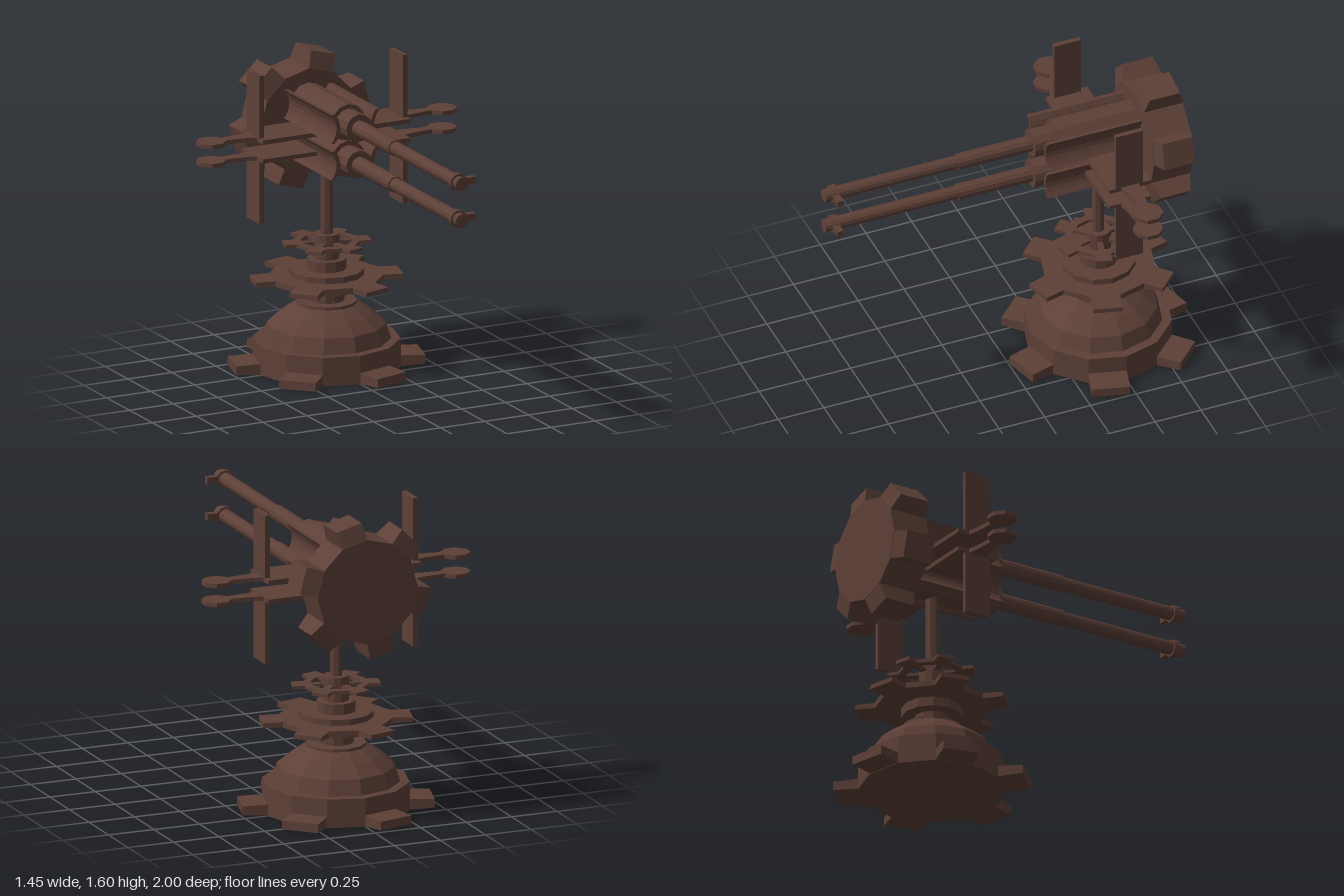
import * as THREE from 'three';

const brown = new THREE.MeshStandardMaterial({ color: 0x5d4037, flatShading: true });
brown.name = 'rust brown';

const AXIS_Z = -0.5; // pedestal axis
const GUN_X = -0.006;

function add(parent, name, geometry, x = 0, y = 0, z = 0) {
  const mesh = new THREE.Mesh(geometry, brown);
  mesh.name = name;
  mesh.position.set(x, y, z);
  parent.add(mesh);
  return mesh;
}

// upright cylinder on the pedestal axis between two heights
function post(parent, name, r, y0, y1, sides = 12) {
  add(parent, name, new THREE.CylinderGeometry(r, r, y1 - y0, sides), 0, (y0 + y1) / 2, AXIS_Z);
}

// cylinder along z between two depths
function tube(parent, name, r, z0, z1, sides = 12) {
  const g = new THREE.CylinderGeometry(r, r, z1 - z0, sides).rotateX(Math.PI / 2);
  add(parent, name, g, 0, 0, (z0 + z1) / 2);
}

// six block teeth around the z axis, narrowing in depth toward the tip
function addTeeth(group, inner, outer, width, depth, tipDepth) {
  for (let i = 0; i < 6; i++) {
    const g = new THREE.BoxGeometry(outer - inner, width, depth);
    const p = g.attributes.position;
    for (let k = 0; k < p.count; k++) {
      if (p.getX(k) > 0) p.setZ(k, p.getZ(k) * tipDepth / depth);
    }
    g.translate((inner + outer) / 2, 0, 0).rotateZ(Math.PI / 12 + i * Math.PI / 3);
    add(group, 'tooth', g);
  }
}

// twelve-sided disc with a tooth on every second face
function makeGear(name, r, depth, outer, toothDepth, tipDepth) {
  const group = new THREE.Group();
  group.name = name;
  add(group, 'disc', new THREE.CylinderGeometry(r, r, depth, 12).rotateX(Math.PI / 2));
  const inner = r * Math.cos(Math.PI / 12) - 0.01;
  addTeeth(group, inner, outer, 2 * r * Math.sin(Math.PI / 12), toothDepth, tipDepth);
  return group;
}

// open wheel with teeth and spokes
function makeWheel() {
  const group = new THREE.Group();
  group.name = 'handWheel';
  const ring = new THREE.Shape();
  const hole = new THREE.Path();
  for (let i = 0; i < 12; i++) {
    const a = i * Math.PI / 6;
    const fn = i ? 'lineTo' : 'moveTo';
    ring[fn](0.17 * Math.cos(a), 0.17 * Math.sin(a));
    hole[fn](0.13 * Math.cos(a), 0.13 * Math.sin(a));
  }
  ring.holes.push(hole);
  const g = new THREE.ExtrudeGeometry(ring, { depth: 0.018, bevelEnabled: false });
  add(group, 'rim', g.translate(0, 0, -0.009));
  addTeeth(group, 0.155, 0.222, 0.088, 0.018, 0.018);
  for (let i = 0; i < 6; i++) {
    const spoke = new THREE.BoxGeometry(0.1, 0.03, 0.016).translate(0.09, 0, 0);
    add(group, 'spoke', spoke.rotateZ(Math.PI / 12 + i * Math.PI / 3));
  }
  return group;
}

// gun with stepped barrel and curved side fins
function makeGun(y) {
  const gun = new THREE.Group();
  gun.name = 'gun';
  gun.position.set(GUN_X, y, 0);
  tube(gun, 'receiver', 0.096, -0.7, -0.25);
  tube(gun, 'collar', 0.073, -0.3, -0.13);
  tube(gun, 'barrelJacket', 0.042, -0.15, 0.27);
  tube(gun, 'barrel', 0.035, 0.2, 1.0);
  tube(gun, 'muzzleRing', 0.046, 0.93, 0.963);
  add(gun, 'muzzleLug', new THREE.BoxGeometry(0.06, 0.036, 0.033), 0.068, 0, 0.9465);

  const fin = new THREE.Shape();
  const n = 6;
  for (let i = 0; i <= n; i++) {
    const t = -1 + 2 * i / n;
    fin[i ? 'lineTo' : 'moveTo'](0.107 + 0.03 * t * t, 0.075 * t);
  }
  for (let i = n; i >= 0; i--) {
    const t = -1 + 2 * i / n;
    fin.lineTo(0.086 + 0.03 * t * t, 0.075 * t);
  }
  const finGeo = new THREE.ExtrudeGeometry(fin, { depth: 0.52, bevelEnabled: false });
  add(gun, 'leftFin', finGeo, 0, 0, -0.69);
  add(gun, 'rightFin', finGeo, 0, 0, -0.69).rotation.z = Math.PI;
  // the half turn moves nothing along z, so both fins share one depth
  return gun;
}

// horizontal plate with tapered arms and octagonal ends
function makeWing(y) {
  const wing = new THREE.Group();
  wing.name = 'wing';
  wing.position.set(0, y, AXIS_Z);
  add(wing, 'plate', new THREE.BoxGeometry(0.84, 0.022, 0.228));
  for (const s of [1, -1]) {
    const arm = new THREE.Shape([
      new THREE.Vector2(0.41, -0.052), new THREE.Vector2(0.47, -0.038),
      new THREE.Vector2(0.61, -0.024), new THREE.Vector2(0.61, 0.024),
      new THREE.Vector2(0.47, 0.038), new THREE.Vector2(0.41, 0.052),
    ]);
    const g = new THREE.ExtrudeGeometry(arm, { depth: 0.022, bevelEnabled: false });
    g.translate(0, 0, -0.011).rotateX(Math.PI / 2).rotateY(s > 0 ? 0 : Math.PI);
    add(wing, 'arm', g);
    const pad = new THREE.CylinderGeometry(0.077, 0.077, 0.022, 8).rotateY(Math.PI / 8);
    add(wing, 'armPad', pad, s * 0.656, 0, 0);
  }
  return wing;
}

export function createModel() {
  const model = new THREE.Group();
  model.name = 'twinGunTurret';

  // base with low teeth
  post(model, 'base', 0.375, 0, 0.15);
  const baseTeeth = new THREE.Group();
  baseTeeth.name = 'baseTeeth';
  addTeeth(baseTeeth, 0.35, 0.49, 0.194, 0.058, 0.046);
  baseTeeth.position.set(0, 0.031, AXIS_Z);
  baseTeeth.rotation.x = Math.PI / 2;
  model.add(baseTeeth);

  // faceted dome
  const profile = [[0.328, 0.145], [0.302, 0.23], [0.235, 0.285], [0.185, 0.318], [0.155, 0.335], [0.155, 0.35], [0, 0.35]];
  const dome = new THREE.LatheGeometry(profile.map(([x, y]) => new THREE.Vector2(x, y)), 12);
  add(model, 'dome', dome, 0, 0, AXIS_Z);

  // stacked pedestal
  post(model, 'neck', 0.09, 0.34, 0.41);
  post(model, 'lowerCollar', 0.156, 0.405, 0.46);
  post(model, 'middleCollar', 0.19, 0.475, 0.515);
  post(model, 'upperCollar', 0.1, 0.51, 0.57);
  post(model, 'spindle', 0.065, 0.56, 0.7);
  post(model, 'column', 0.033, 0.69, 1.24, 8);

  const gear = makeGear('pedestalGear', 0.29, 0.03, 0.383, 0.03, 0.024);
  gear.position.set(0, 0.469, AXIS_Z);
  gear.rotation.x = Math.PI / 2;
  model.add(gear);

  const wheel = makeWheel();
  wheel.position.set(0, 0.652, AXIS_Z);
  wheel.rotation.x = Math.PI / 2;
  model.add(wheel);

  // rear drum
  const drum = makeGear('rearDrum', 0.275, 0.215, 0.354, 0.215, 0.165);
  drum.position.set(0, 1.24, -0.798);
  model.add(drum);

  // twin guns, wings and upright shields
  for (const y of [1.155, 1.347]) model.add(makeGun(y));
  for (const y of [1.161, 1.261]) model.add(makeWing(y));
  for (const x of [-0.407, 0.407]) {
    add(model, 'upperShield', new THREE.BoxGeometry(0.026, 0.335, 0.146), x, 1.4325, AXIS_Z + 0.003);
    add(model, 'lowerShield', new THREE.BoxGeometry(0.026, 0.335, 0.146), x, 0.9875, AXIS_Z + 0.003);
  }
  return model;
}
